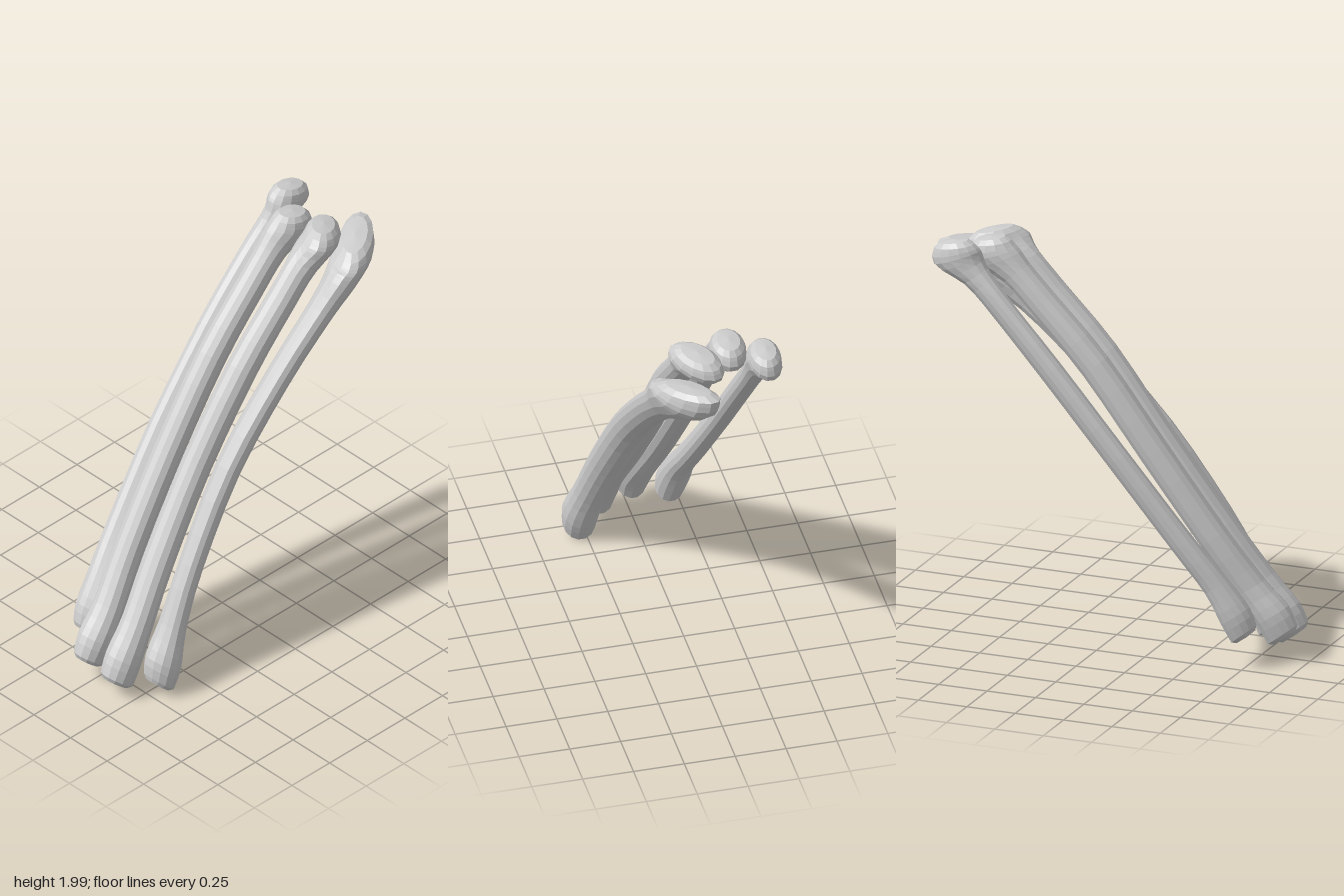
import * as THREE from 'three';

const SIDES = 14, STEPS = 3;

// Key rings, foot to head: x, y, z, half width, half depth, tilt back (deg), twist (deg)
const BONES = {
  outerRightBone: [
    [-.175, .172, .73, .069, .076, 38, 0], [-.185, .26, .69, .078, .081, 34, -10], [-.2, .4, .6, .073, .066, 34, -35],
    [-.23, .6, .44, .075, .06, 36, -45], [-.272, 1, .122, .076, .057, 40, -48], [-.287, 1.4, -.215, .076, .057, 42, -48],
    [-.285, 1.68, -.47, .074, .057, 42, -45], [-.28, 1.83, -.61, .069, .07, 36, -30],
    [-.282, 1.915, -.705, .08, .122, 20, -5], [-.282, 1.97, -.72, .07, .102, 10, 0],
  ],
  innerRightBone: [
    [-.02, .138, .865, .074, .09, 37, 0], [-.025, .23, .815, .088, .092, 34, 0], [-.04, .36, .71, .08, .08, 33, 0],
    [-.08, .6, .535, .075, .076, 34, 0], [-.115, 1, .245, .074, .076, 37, 0], [-.13, 1.4, -.055, .074, .076, 42, 0],
    [-.135, 1.68, -.32, .072, .074, 44, 0], [-.135, 1.82, -.46, .073, .08, 38, 0],
    [-.133, 1.905, -.575, .089, .124, 18, 0], [-.133, 1.96, -.59, .077, .1, 10, 0],
  ],
  innerLeftBone: [
    [.15, .095, .845, .08, .095, 37, 0], [.146, .19, .797, .09, .096, 34, 0], [.13, .34, .69, .08, .08, 33, 0],
    [.088, .6, .505, .079, .077, 34, 0], [.05, 1, .215, .075, .077, 37, 0], [.045, 1.4, -.085, .076, .077, 42, 0],
    [.045, 1.68, -.35, .074, .074, 44, 8], [.045, 1.82, -.49, .08, .078, 38, 30],
    [.033, 1.895, -.62, .155, .092, 18, 52], [.03, 1.945, -.64, .13, .077, 10, 52],
  ],
  outerLeftBone: [
    [.278, .07, .69, .08, .086, 42, 0], [.276, .165, .66, .09, .097, 36, 10], [.254, .33, .575, .082, .07, 31, 40],
    [.222, .6, .42, .084, .062, 33, 52], [.18, 1, .135, .088, .064, 40, 52], [.167, 1.35, -.205, .088, .064, 46, 52],
    [.165, 1.6, -.49, .094, .068, 46, 52], [.157, 1.71, -.63, .13, .082, 32, 52],
    [.124, 1.79, -.745, .185, .098, 6, 52], [.11, 1.853, -.78, .182, .082, -8, 52],
  ],
};

// Smooth interpolation of the key rings
function sample(rows, t) {
  const i = Math.min(Math.floor(t), rows.length - 2), f = t - i;
  const at = k => rows[Math.max(0, Math.min(rows.length - 1, k))];
  return rows[i].map((p, k) => {
    const a = at(i - 1)[k], b = at(i + 1)[k], c = at(i + 2)[k];
    return p + .5 * f * (b - a + f * (2 * a - 5 * p + 4 * b - c + f * (3 * (p - b) + c - a)));
  });
}

// Inset ring just beyond an end, rounding its rim
function rim(row, scale, out) {
  const t = THREE.MathUtils.degToRad(row[5]);
  return [row[0], row[1] + out * Math.cos(t), row[2] - out * Math.sin(t), row[3] * scale, row[4] * scale, row[5], row[6]];
}

function boneGeometry(keys) {
  const rings = [];
  const count = (keys.length - 1) * STEPS;
  for (let i = 0; i <= count; i++) rings.push(sample(keys, i / STEPS));
  const first = rings[0], last = rings[count];
  rings.unshift(rim(first, 0, -.022), rim(first, .75, -.018));
  rings.push(rim(last, .72, .022), rim(last, 0, .03));

  const position = [], index = [];
  for (const [x, y, z, a, b, tilt, twist] of rings) {
    const t = THREE.MathUtils.degToRad(tilt), w = THREE.MathUtils.degToRad(twist);
    for (let s = 0; s < SIDES; s++) {
      const q = s / SIDES * Math.PI * 2 - w;
      const u = a * Math.cos(q), v = b * Math.sin(q);
      const across = u * Math.cos(w) - v * Math.sin(w);
      const deep = u * Math.sin(w) + v * Math.cos(w);
      position.push(x + across, y + deep * Math.sin(t), z + deep * Math.cos(t));
    }
  }
  for (let r = 0; r < rings.length - 1; r++) {
    for (let s = 0; s < SIDES; s++) {
      const a = r * SIDES + s, b = r * SIDES + (s + 1) % SIDES;
      const c = a + SIDES, d = b + SIDES;
      if (r < rings.length - 2) index.push(a, c, d);
      else index.push(a, c, b);
      if (r > 0 && r < rings.length - 2) index.push(a, d, b);
    }
  }
  const geometry = new THREE.BufferGeometry();
  geometry.setAttribute('position', new THREE.Float32BufferAttribute(position, 3));
  geometry.setIndex(index);
  geometry.computeVertexNormals();
  return geometry;
}

export function createModel() {
  const model = new THREE.Group();
  model.name = 'footBones';
  const material = new THREE.MeshStandardMaterial({ color: 0xcccccc, flatShading: true });
  for (const [name, keys] of Object.entries(BONES)) {
    const bone = new THREE.Mesh(boneGeometry(keys), material);
    bone.name = name;
    model.add(bone);
  }
  return model;
}
